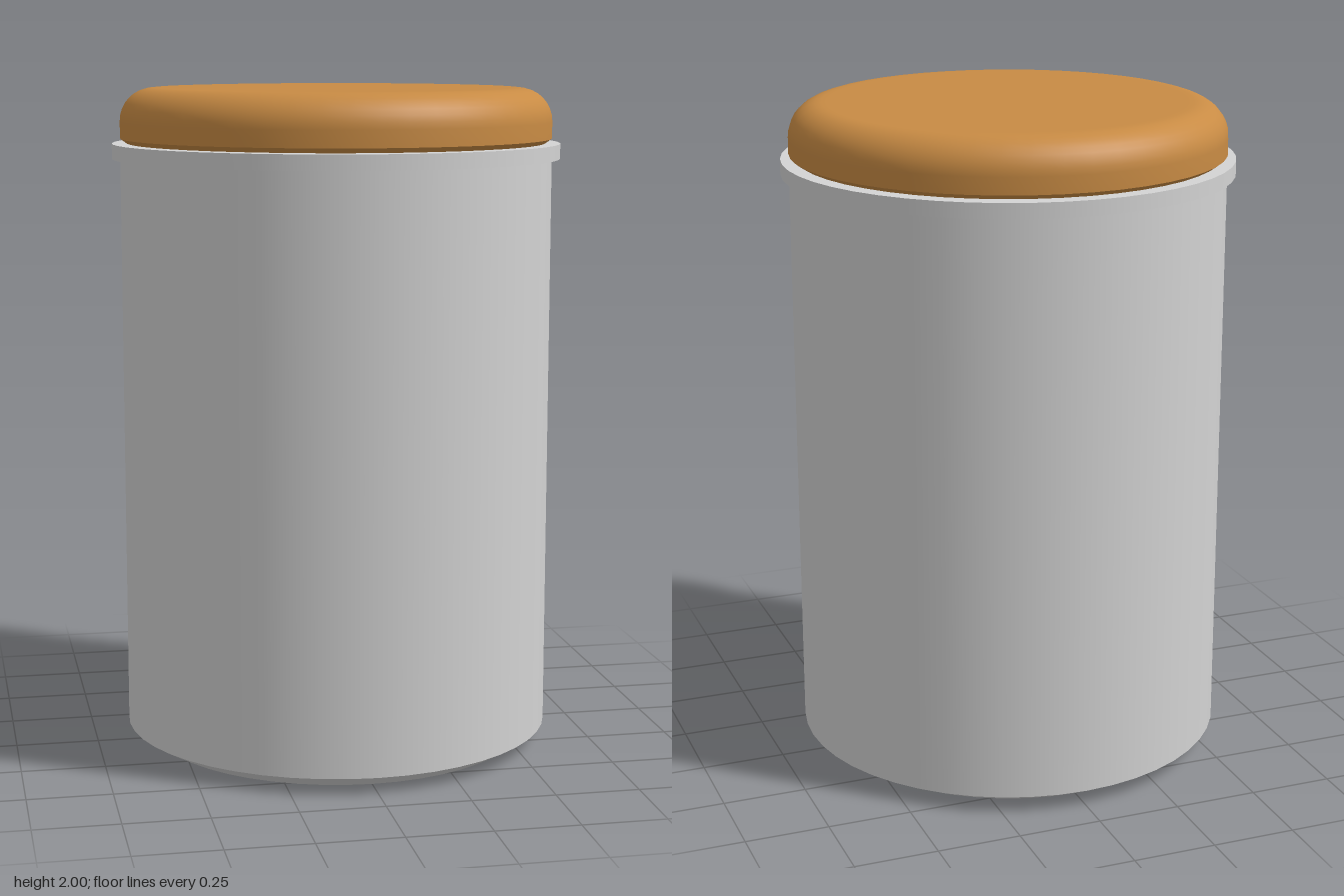
import * as THREE from 'three';

const SEGMENTS = 48;

export function createModel() {
  const model = new THREE.Group();
  const metal = new THREE.MeshStandardMaterial({ name: 'light grey', color: 0xd3d3d3 });
  const wood = new THREE.MeshStandardMaterial({ name: 'warm wood', color: 0xc88b44 });

  // Each profile runs outward along the bottom and up; separate profiles keep a crisp edge.
  const turn = (name, parent, material, profile) => {
    const points = profile.map(([r, y]) => new THREE.Vector2(r, y));
    const mesh = new THREE.Mesh(new THREE.LatheGeometry(points, SEGMENTS), material);
    mesh.name = name;
    parent.add(mesh);
  };
  const group = (name) => {
    const g = new THREE.Group();
    g.name = name;
    model.add(g);
    return g;
  };

  // Canister body with a bevelled foot
  const body = group('body');
  turn('base', body, metal, [[0, 0], [0.55, 0], [0.57, 0.005], [0.65, 0.05]]);
  turn('wall', body, metal, [[0.65, 0.05], [0.65, 1.8]]);

  // Projecting rim at the mouth
  const rim = group('rim');
  turn('rimUnderside', rim, metal, [[0.64, 1.79], [0.675, 1.79]]);
  turn('rimEdge', rim, metal, [[0.675, 1.79], [0.675, 1.835]]);
  turn('rimTop', rim, metal, [[0.675, 1.835], [0, 1.835]]);

  // Lid with a softly rounded shoulder
  const lid = group('lid');
  turn('lidUnderside', lid, wood, [[0.63, 1.836], [0.65, 1.85]]);
  const shoulder = [[0.65, 1.85]];
  for (let i = 0; i <= 8; i++) {
    const a = (i / 8) * Math.PI / 2;
    shoulder.push([0.55 + 0.1 * Math.cos(a), 1.9 + 0.1 * Math.sin(a)]);
  }
  turn('lidTop', lid, wood, [...shoulder, [0.53, 2], [0, 2]]);

  return model;
}
